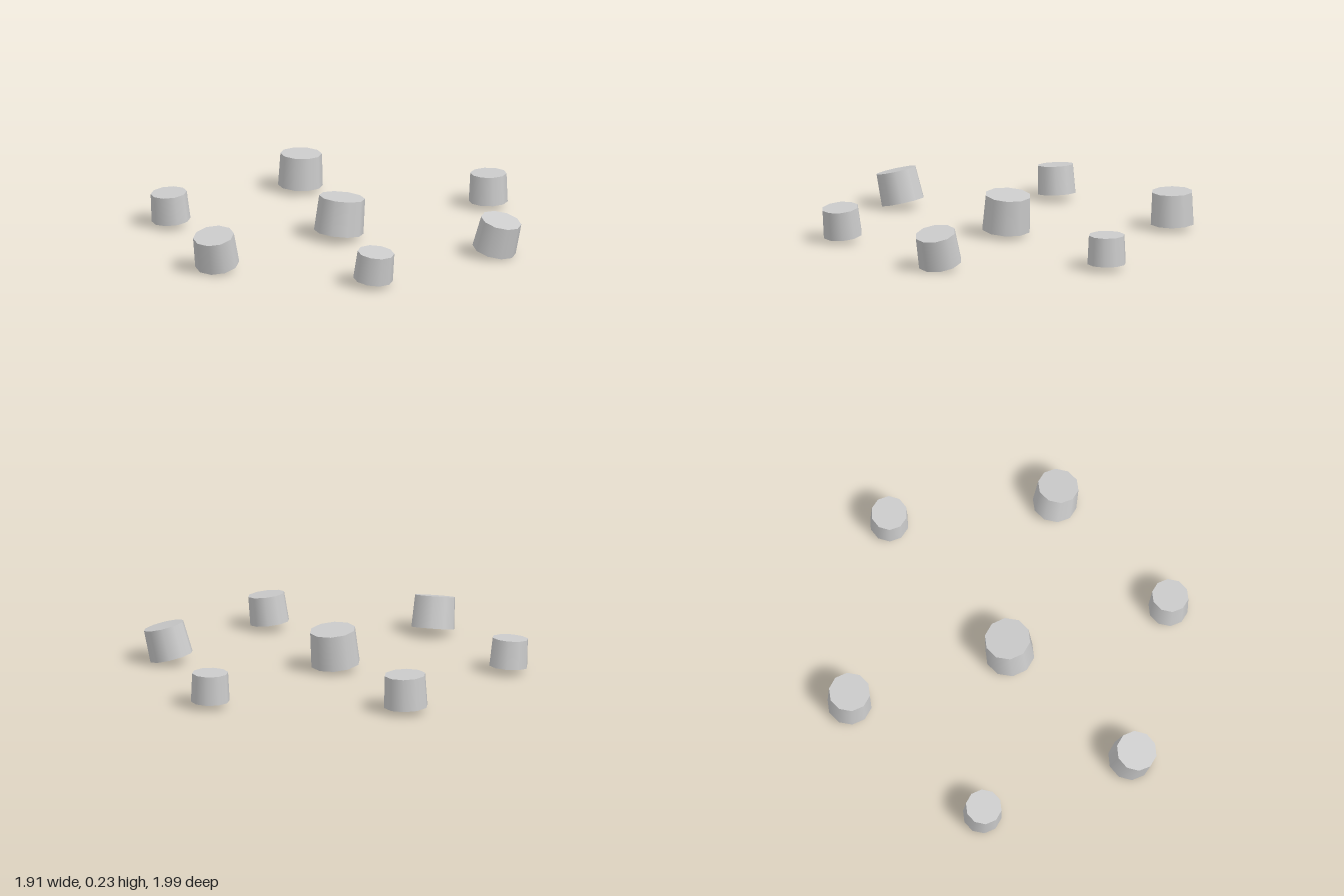
import * as THREE from 'three';

const material = new THREE.MeshStandardMaterial({ color: 0xcccccc });
const UP = new THREE.Vector3(0, 1, 0);

// Slightly tapered ten-sided stump whose axis runs from the base centre to the top centre
function makeStump(name, base, top, radius, yaw) {
  const from = new THREE.Vector3(...base);
  const axis = new THREE.Vector3(...top).sub(from);
  const geometry = new THREE.CylinderGeometry(radius * 0.93, radius, axis.length(), 10);
  geometry.rotateY(yaw);
  const stump = new THREE.Mesh(geometry, material);
  stump.name = name;
  stump.position.copy(from).addScaledVector(axis, 0.5);
  stump.quaternion.setFromUnitVectors(UP, axis.normalize());
  return stump;
}

export function createModel() {
  const group = new THREE.Group();
  group.name = 'stumpRing';

  // name, base centre, top centre, base radius, turn about the axis
  const stumps = [
    ['centreStump', [-0.05, 0.035, 0.008], [-0.03, 0.223, 0.002], 0.131, 0.1],
    ['backStump', [-0.034, 0.03, -0.882], [-0.03, 0.203, -0.881], 0.118, 0.1],
    ['backRightStump', [-0.852, 0.033, -0.427], [-0.866, 0.184, -0.423], 0.103, 0.1],
    ['backLeftStump', [0.854, 0.032, -0.35], [0.855, 0.186, -0.35], 0.103, 0],
    ['frontRightStump', [-0.812, 0.033, 0.41], [-0.84, 0.198, 0.441], 0.117, 0.1],
    ['frontLeftStump', [0.669, 0.033, 0.509], [0.7, 0.198, 0.541], 0.117, 0.1],
    ['frontStump', [-0.083, 0.034, 0.88], [-0.071, 0.185, 0.897], 0.105, 0.1],
  ];
  for (const stump of stumps) group.add(makeStump(...stump));
  return group;
}
